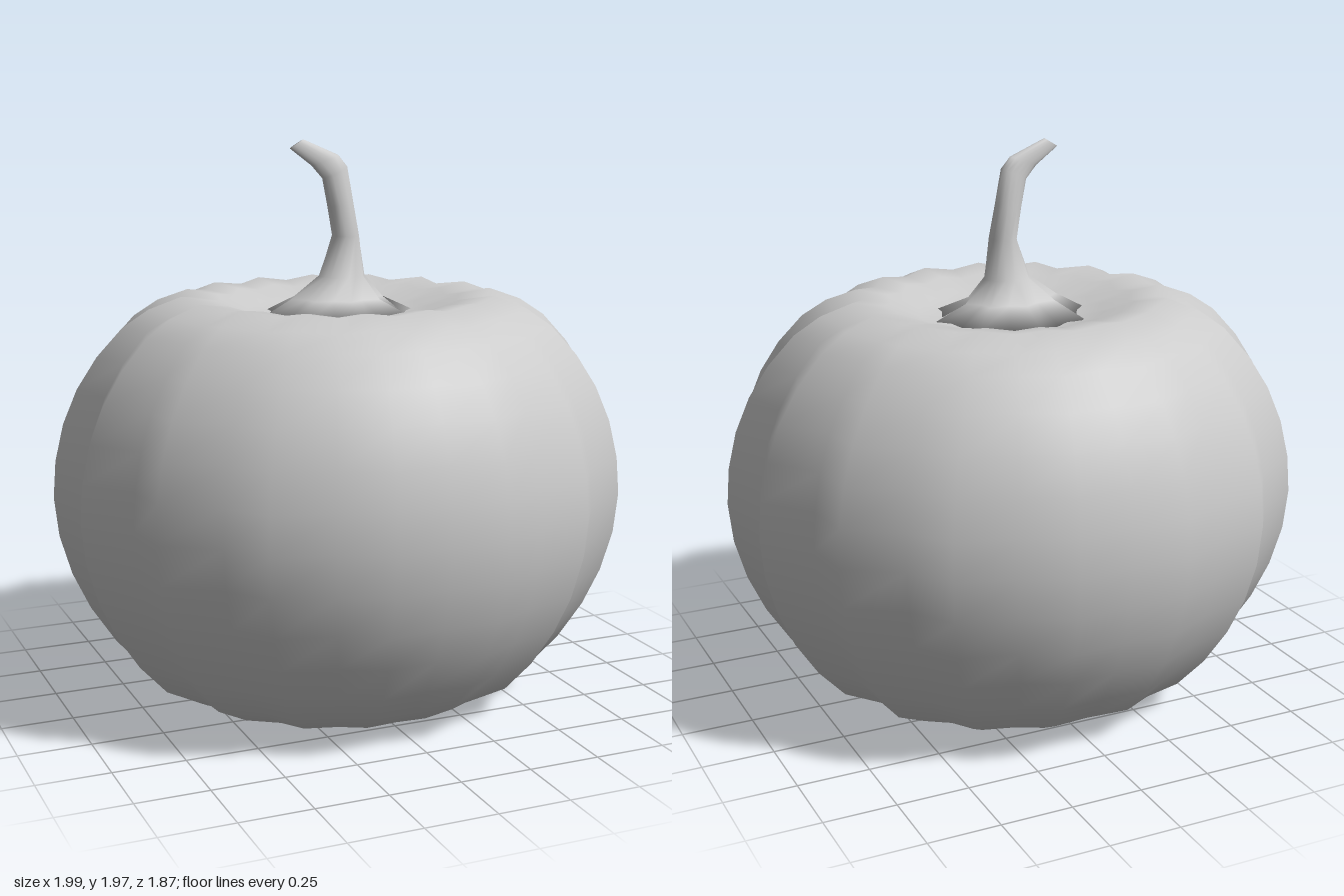
import * as THREE from 'three';

// Smooth closed skin over a stack of rings (bottom to top), capped at both ends.
function loft(name, rings, bottom, top) {
  const n = rings[0].length;
  const points = [...rings.flat(), bottom, top];
  const base = points.length - 2;
  const last = (rings.length - 1) * n;
  const index = [];
  for (let j = 0; j < n; j++) {
    const k = (j + 1) % n;
    for (let i = 0; i < rings.length - 1; i++) {
      const a = i * n + j, b = i * n + k;
      index.push(a, a + n, b, b, a + n, b + n);
    }
    index.push(base, j, k, base + 1, last + k, last + j);
  }
  const geometry = new THREE.BufferGeometry().setFromPoints(points);
  geometry.setIndex(index);
  geometry.computeVertexNormals();
  const mesh = new THREE.Mesh(geometry, new THREE.MeshStandardMaterial({ color: 0xcccccc }));
  mesh.name = name;
  return mesh;
}

// Ribbed fruit: 16 ridges on an oval, grooves on a nearly round outline.
function createBody() {
  // radius, height, groove strength
  const profile = [
    [0.12, 0.03, 0.5], [0.3, 0.008, 0.6], [0.44, 0.005, 0.8], [0.55, 0.02, 1],
    [0.7, 0.1, 1], [0.8, 0.21, 1], [0.885, 0.34, 1], [0.945, 0.47, 1],
    [0.985, 0.61, 1], [1, 0.75, 1], [0.99, 0.88, 1], [0.96, 1.01, 1],
    [0.91, 1.13, 1], [0.84, 1.24, 1], [0.75, 1.34, 1], [0.66, 1.4, 1],
    [0.55, 1.44, 1], [0.44, 1.425, 0.9], [0.33, 1.385, 0.7], [0.2, 1.36, 0.5],
  ];
  const segments = 32;
  const rings = profile.map(([r, y, groove]) => Array.from({ length: segments }, (_, j) => {
    const a = j / segments * Math.PI * 2;
    const valley = j % 2 === 0 ? groove : 0;
    const rx = THREE.MathUtils.lerp(1.017, 0.937, valley);
    const rz = THREE.MathUtils.lerp(0.952, 0.92, valley);
    const dip = y > 1.35 ? 0.015 * valley : 0;
    return new THREE.Vector3(r * rx * Math.cos(a), y - dip, r * rz * Math.sin(a));
  }));
  return loft('body', rings, new THREE.Vector3(0, 0.04, 0), new THREE.Vector3(0, 1.35, 0));
}

// Flared, ribbed stalk that bends to one side and thins to a blade-like tip.
function createStem() {
  // left x, left y, right x, right y, half depth, rib strength
  const sections = [
    [-0.3, 1.36, 0.3, 1.36, 0.27, 0.2], [-0.18, 1.425, 0.17, 1.42, 0.13, 0.2],
    [-0.075, 1.5, 0.1, 1.5, 0.07, 0.12], [-0.022, 1.64, 0.077, 1.64, 0.055, 0.06],
    [-0.04, 1.74, 0.055, 1.76, 0.043, 0.04], [-0.06, 1.84, 0.033, 1.88, 0.028, 0],
    [-0.1, 1.885, 0, 1.92, 0.018, 0], [-0.18, 1.945, -0.13, 1.975, 0.008, 0],
  ];
  const sides = 16;
  const centre = ([x0, y0, x1, y1]) => new THREE.Vector3((x0 + x1) / 2, (y0 + y1) / 2, 0);
  const rings = sections.map((s) => Array.from({ length: sides }, (_, j) => {
    const a = j / sides * Math.PI * 2;
    const k = j % 2 ? 1 - s[5] : 1;
    const across = new THREE.Vector3(s[2] - s[0], s[3] - s[1], 0).multiplyScalar(0.5 * k * Math.cos(a));
    const p = centre(s).add(across);
    p.z = s[4] * k * Math.sin(a);
    return p;
  }));
  return loft('stem', rings, centre(sections[0]), centre(sections[sections.length - 1]));
}

export function createModel() {
  const group = new THREE.Group();
  group.name = 'pumpkin';
  group.add(createBody(), createStem());
  return group;
}
